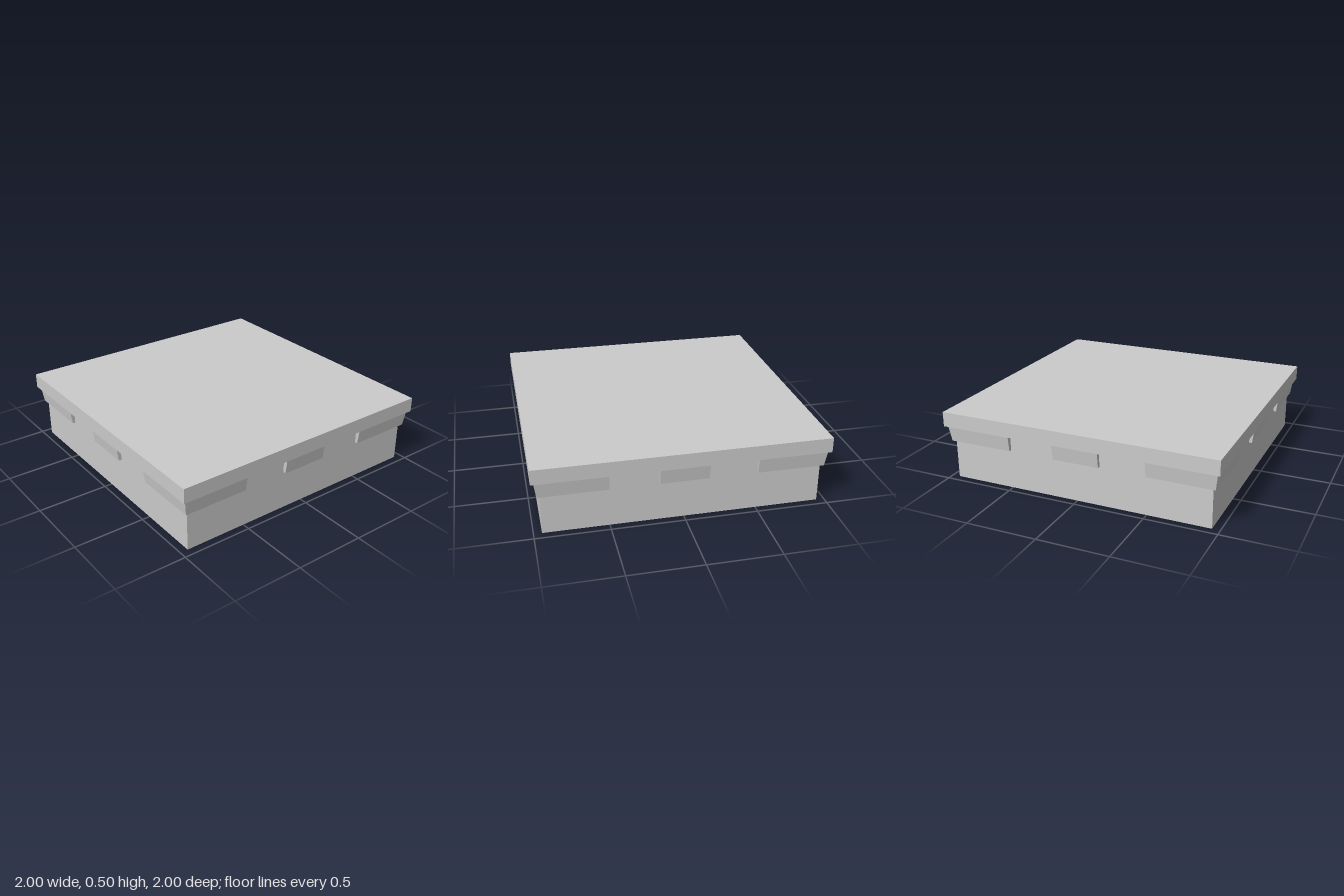
import * as THREE from 'three';

const material = new THREE.MeshStandardMaterial({ color: 0xcccccc, flatShading: true });
const BASE = 0.945, LID_Y = 0.395, TOP = 0.5;

// Outer face of the skirt leans outwards towards the lid
const skirtReach = (y) => THREE.MathUtils.mapLinear(y, 0.28, LID_Y, 0.965, 0.98);

function block(name, min, max) {
  const size = max.map((v, i) => v - min[i]);
  const geometry = new THREE.BoxGeometry(...size);
  geometry.translate(...min.map((v, i) => v + size[i] / 2));
  const mesh = new THREE.Mesh(geometry, material);
  mesh.name = name;
  return mesh;
}

// Block whose outward sides (beyond the base walls) follow the skirt's slope
function skirtBlock(name, min, max) {
  const mesh = block(name, min, max);
  const p = mesh.geometry.attributes.position;
  const lean = (v, y) => (Math.abs(v) > BASE ? Math.sign(v) * skirtReach(y) : v);
  for (let i = 0; i < p.count; i++) {
    const y = p.getY(i);
    p.setX(i, lean(p.getX(i), y));
    p.setZ(i, lean(p.getZ(i), y));
  }
  mesh.geometry.computeVertexNormals();
  return mesh;
}

export function createModel() {
  const model = new THREE.Group();
  model.name = 'liddedBox';

  model.add(block('base', [-BASE, 0, -BASE], [BASE, LID_Y, BASE]));
  model.add(block('lid', [-1, LID_Y, -1], [1, TOP, 1]));
  // Thin continuous lip under the lid
  model.add(skirtBlock('lidLip', [-0.97, 0.385, -0.97], [0.97, LID_Y, 0.97]));

  // One corner tab and one middle tab per side
  for (let i = 0; i < 4; i++) {
    const side = new THREE.Group();
    side.name = 'skirtSide';
    side.add(skirtBlock('cornerTab', [0.5, 0.28, 0.5], [0.97, LID_Y, 0.97]));
    side.add(skirtBlock('middleTab', [-0.167, 0.28, 0.9], [0.167, LID_Y, 0.97]));
    side.rotation.y = i * Math.PI / 2;
    model.add(side);
  }
  return model;
}
